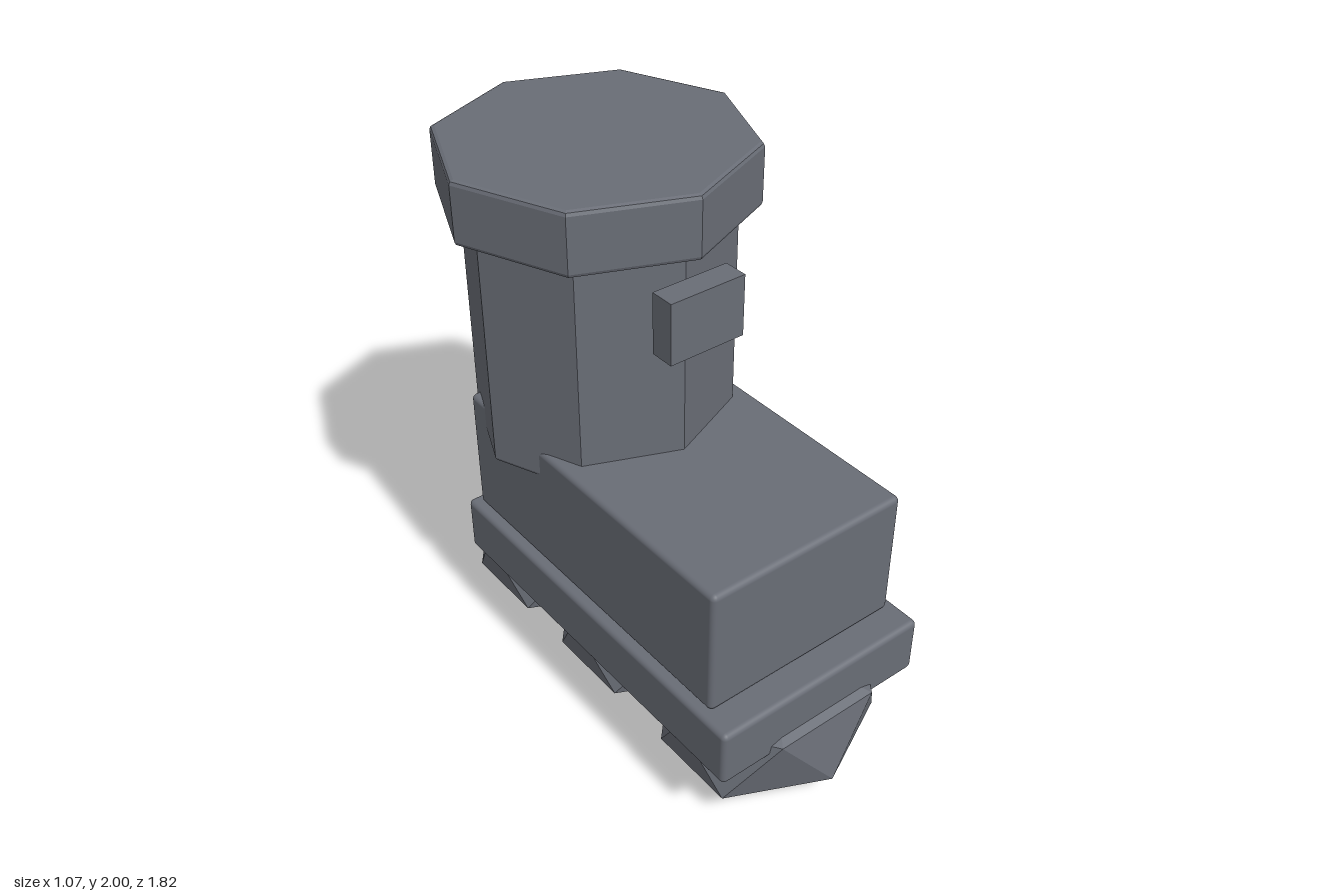
import * as THREE from 'three';
import { RoundedBoxGeometry } from 'three/addons/geometries/RoundedBoxGeometry.js';

const slate = new THREE.MeshStandardMaterial({ color: 0x696d76 });
slate.name = 'slate grey';

function add(group, name, geometry, x, y, z) {
  const mesh = new THREE.Mesh(geometry, slate);
  mesh.name = name;
  mesh.position.set(x, y, z);
  group.add(mesh);
}

// Soft-edged box given by its y and z ranges
function block(group, name, width, y0, y1, z0, z1) {
  const geometry = new RoundedBoxGeometry(width, y1 - y0, z1 - z0, 3, 0.02);
  add(group, name, geometry, 0, (y0 + y1) / 2, (z0 + z1) / 2);
}

// Upright octagonal prism with bevelled rims, corners on the x and z axes
function octagon(radius, height) {
  const b = 0.015;
  const points = [];
  for (let i = 0; i < 8; i++) {
    const a = (i * Math.PI) / 4;
    points.push(new THREE.Vector2(radius * Math.cos(a), radius * Math.sin(a)));
  }
  const geometry = new THREE.ExtrudeGeometry(new THREE.Shape(points), {
    depth: height - 2 * b, bevelThickness: b, bevelSize: b, bevelOffset: -b, bevelSegments: 2,
  });
  geometry.translate(0, 0, b);
  return geometry.rotateX(-Math.PI / 2);
}

// Twisted six-sided stone: two offset rings closed by shallow points
function stone() {
  const n = 6, rx = 0.4, rz = 0.33;
  const ring = (y, turn) => Array.from({ length: n }, (_, i) => {
    const a = ((i + turn) * 2 * Math.PI) / n;
    return [rx * Math.sin(a), y, rz * Math.cos(a)];
  });
  const low = ring(0.12, 0), high = ring(0.37, 0.5);
  const bottom = [0, 0, 0], top = [0, 0.49, 0];
  const corners = [];
  for (let i = 0; i < n; i++) {
    const j = (i + 1) % n;
    corners.push(bottom, low[j], low[i]);
    corners.push(low[i], low[j], high[i]);
    corners.push(low[j], high[j], high[i]);
    corners.push(high[i], high[j], top);
  }
  const geometry = new THREE.BufferGeometry();
  geometry.setAttribute('position', new THREE.Float32BufferAttribute(corners.flat(), 3));
  geometry.computeVertexNormals();
  return geometry;
}

export function createModel() {
  const model = new THREE.Group();
  model.name = 'blockTower';

  // Stones under the base
  const stoneGeometry = stone();
  for (const z of [0.58, -0.02, -0.58]) add(model, 'stoneFoot', stoneGeometry, 0, 0, z);

  // Base slab and body
  block(model, 'baseSlab', 0.85, 0.325, 0.545, -0.655, 0.835);
  block(model, 'body', 0.78, 0.545, 1.03, -0.62, 0.725);

  // Octagonal tower with its wider cap
  add(model, 'tower', octagon(0.46, 0.88), 0, 0.92, -0.36);
  add(model, 'towerCap', octagon(0.535, 0.22), 0, 1.78, -0.36);

  // Plaque standing just off the tower
  add(model, 'plaque', new THREE.BoxGeometry(0.29, 0.22, 0.09), 0, 1.59, 0.165);

  return model;
}
